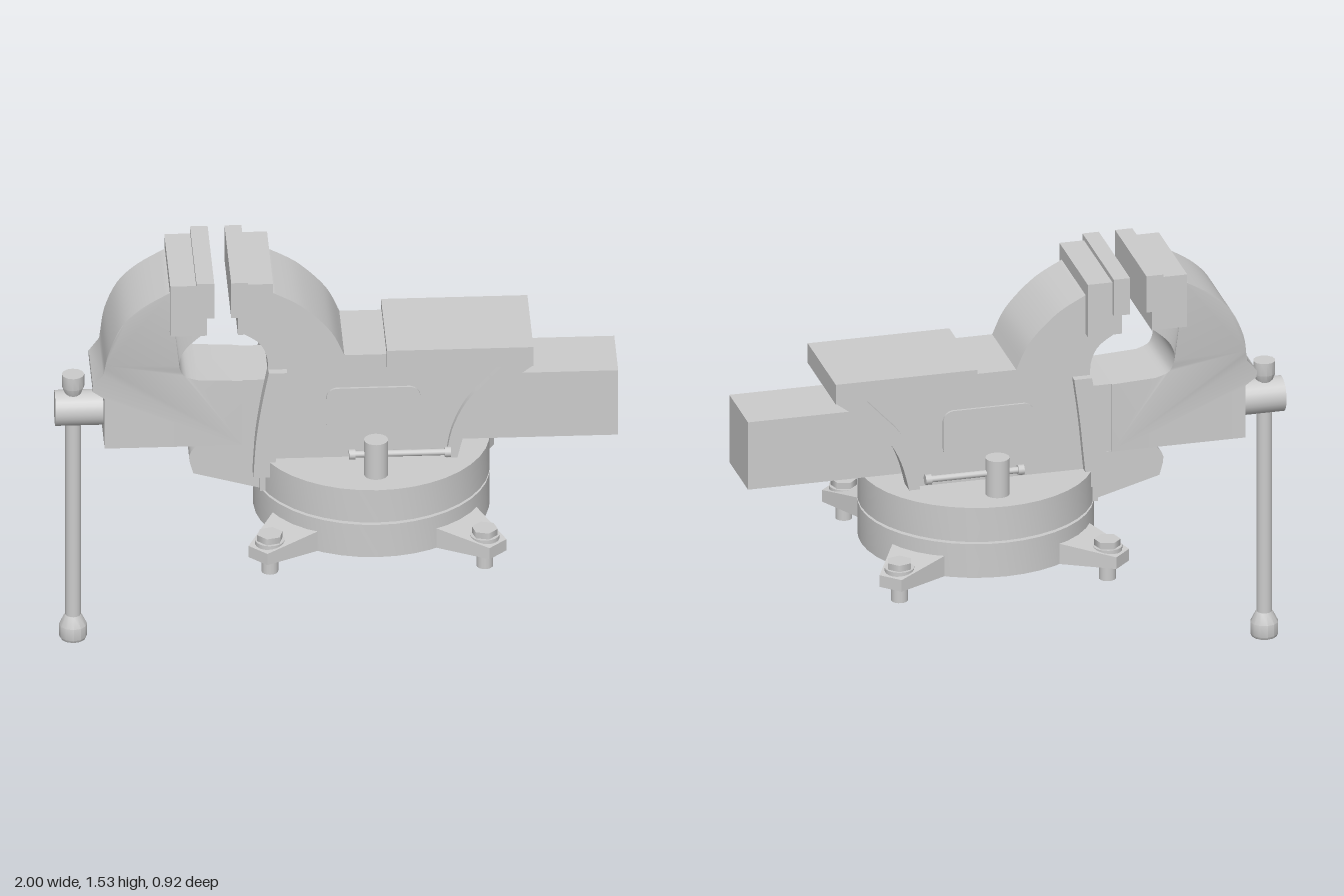
import * as THREE from 'three';
import { toCreasedNormals } from 'three/addons/utils/BufferGeometryUtils.js';

const CX = 0.125; // centre of the swivel base
const material = new THREE.MeshStandardMaterial({ color: 0xcccccc, side: THREE.DoubleSide });
const V = (x, y) => new THREE.Vector2(x, y);
const curve = (pts, n = 16) => new THREE.SplineCurve(pts.map(p => V(...p))).getPoints(n);
const poly = pts => new THREE.Shape(pts.map(p => (p.isVector2 ? p : V(...p))));

export function createModel() {
  const root = new THREE.Group();

  const add = (name, geo, x = 0, y = 0, z = 0, parent = root) => {
    const mesh = new THREE.Mesh(geo, material);
    mesh.name = name;
    mesh.position.set(x, y, z);
    parent.add(mesh);
    return mesh;
  };
  // box given by its limits, symmetric in z
  const box = (name, x0, x1, y0, y1, halfZ) =>
    add(name, new THREE.BoxGeometry(x1 - x0, y1 - y0, 2 * halfZ), (x0 + x1) / 2, (y0 + y1) / 2, 0);
  // side profile extruded from z0 to z1
  const slab = (shape, z0, z1) => {
    const g = new THREE.ExtrudeGeometry(shape, { depth: z1 - z0, bevelEnabled: false, curveSegments: 8 });
    return g.translate(0, 0, z0);
  };
  const addSlab = (name, shape, z0, z1) => add(name, toCreasedNormals(slab(shape, z0, z1), 0.6));
  const bothSides = (name, shape, z0, z1) => {
    addSlab(name + 'Left', shape, z0, z1);
    addSlab(name + 'Right', shape, -z1, -z0);
  };
  const lathe = (pts, n) =>
    toCreasedNormals(new THREE.LatheGeometry(pts.map(p => V(...p)), n), 0.6);

  // --- swivel base ---
  add('baseRing', lathe([[0.385, 0.52], [0.42, 0.52], [0.42, 0.65], [0.385, 0.65], [0.385, 0.52]], 40), CX);
  add('swivelDisc', lathe([[0, 0.72], [0.36, 0.72], [0.36, 0.66], [0.42, 0.66], [0.42, 0.79], [0, 0.79]], 40), CX);
  add('swivelCollar', lathe([[0.36, 0.64], [0.4, 0.64], [0.4, 0.67], [0.36, 0.67], [0.36, 0.64]], 40), CX);

  // --- four mounting lugs with bolts, hollow underneath ---
  const lugOutline = [[0.395, -0.11], [0.603, -0.045], [0.603, 0.045], [0.395, 0.11]];
  const rim = poly(lugOutline);
  rim.holes.push(new THREE.Path([V(0.41, -0.085), V(0.41, 0.085), V(0.585, 0.03), V(0.585, -0.03)]));
  const rimGeo = slab(rim, 0, 0.03).rotateX(-Math.PI / 2);
  const topGeo = slab(poly(lugOutline), 0.03, 0.045).rotateX(-Math.PI / 2);
  const p = topGeo.attributes.position;
  for (let i = 0; i < p.count; i++) {
    if (p.getY(i) > 0.04 && p.getX(i) < 0.5) p.setY(i, 0.08); // rises towards the ring
  }
  topGeo.computeVertexNormals();
  for (let i = 0; i < 4; i++) {
    const lug = new THREE.Group();
    lug.name = 'mountingLug' + (i + 1);
    lug.position.set(CX, 0.52, 0);
    lug.rotation.y = Math.PI / 4 + i * Math.PI / 2;
    add('lugRim', rimGeo, 0, 0, 0, lug);
    add('lugTop', topGeo, 0, 0, 0, lug);
    add('washer', new THREE.CylinderGeometry(0.053, 0.053, 0.016, 20), 0.54, 0.055, 0, lug);
    add('boltHead', new THREE.CylinderGeometry(0.047, 0.047, 0.028, 6), 0.54, 0.073, 0, lug);
    add('boltShank', new THREE.CylinderGeometry(0.03, 0.03, 0.125, 16), 0.54, -0.002, 0, lug);
    root.add(lug);
  }

  // --- swivel locks: post with a cross bar ---
  for (const s of [1, -1]) {
    const lock = new THREE.Group();
    lock.name = s > 0 ? 'swivelLockLeft' : 'swivelLockRight';
    lock.position.set(CX, 0, s * 0.3);
    add('lockPost', new THREE.CylinderGeometry(0.043, 0.043, 0.35, 20), 0, 0.755, 0, lock);
    add('lockBar', new THREE.CylinderGeometry(0.012, 0.012, 0.34, 12).rotateZ(Math.PI / 2), 0.085, 0.873, 0, lock);
    for (const x of [-0.085, 0.255]) {
      add('lockBarEnd', new THREE.CylinderGeometry(0.019, 0.019, 0.022, 12).rotateZ(Math.PI / 2), x, 0.873, 0, lock);
    }
    root.add(lock);
  }

  // --- fixed body: two cheeks around the slide channel ---
  const armBack = curve([[-0.235, 1.46], [-0.13, 1.4], [-0.03, 1.3], [0.02, 1.2]]);
  const armFront = curve([[-0.25, 1.12], [-0.255, 1.2], [-0.285, 1.26], [-0.36, 1.31]], 10);
  const webOuter = curve([[0.69, 1.155], [0.6, 1.085], [0.5, 0.99], [0.45, 0.9], [0.42, 0.79]]);
  const webInner = curve([[0.38, 0.79], [0.4, 0.9], [0.45, 1.01], [0.52, 1.09], [0.58, 1.155]]);
  const noseEdge = curve([[-0.5, 0.835], [-0.53, 0.79], [-0.515, 0.72]], 6);
  addSlab('fixedJawArm', poly([...armBack, [0.18, 1.2], [0.18, 1.12], ...armFront, [-0.3, 1.46]]), -0.165, 0.165);
  bothSides('cheek', poly([[-0.24, 1.14], [0.1, 1.19], [0.2, 1.16], ...webOuter, [-0.1, 0.79],
    [-0.2, 0.67], [-0.28, 0.66], [-0.28, 0.8]]), 0.13, 0.165);
  bothSides('rearRib', poly([...webOuter, ...webInner]), 0.13, 0.193);
  bothSides('frontFlange', poly([
    ...curve([[-0.185, 1.15], [-0.205, 1.0], [-0.22, 0.85], [-0.232, 0.73]]),
    ...curve([[-0.305, 0.73], [-0.295, 0.88], [-0.275, 1.02], [-0.25, 1.15]]),
  ]), 0.128, 0.195);
  addSlab('bodyNose', poly([...noseEdge, [-0.28, 0.655], [-0.12, 0.655], [-0.12, 0.828]]), -0.13, 0.13);
  box('anvil', 0.17, 0.69, 1.152, 1.228, 0.193);

  // raised rounded panel on each cheek
  const panel = new THREE.Shape();
  const [x0, x1, y0, y1, r] = [-0.045, 0.29, 0.89, 1.07, 0.04];
  panel.absarc(x1 - r, y1 - r, r, 0, Math.PI / 2);
  panel.absarc(x0 + r, y1 - r, r, Math.PI / 2, Math.PI);
  panel.absarc(x0 + r, y0 + r, r, Math.PI, Math.PI * 1.5);
  panel.absarc(x1 - r, y0 + r, r, Math.PI * 1.5, Math.PI * 2);
  bothSides('sidePanel', panel, 0.16, 0.174);

  // --- sliding jaw, widening towards the top ---
  const jawBack = curve([[-0.83, 1.16], [-0.815, 1.24], [-0.77, 1.34], [-0.7, 1.41], [-0.6, 1.47]]);
  const jawThroat = curve([[-0.47, 1.31], [-0.54, 1.245], [-0.566, 1.18], [-0.55, 1.12], [-0.5, 1.098]]);
  const jawGeo = slab(poly([[-0.83, 0.83], [-0.83, 1.03], [-0.872, 1.06], [-0.872, 1.085], [-0.835, 1.13],
    ...jawBack, [-0.5, 1.47], ...jawThroat, [-0.34, 1.09], [-0.34, 0.83]]), -1, 1);
  const jp = jawGeo.attributes.position;
  for (let i = 0; i < jp.count; i++) {
    jp.setZ(i, jp.getZ(i) * (0.132 + 0.033 * THREE.MathUtils.smoothstep(jp.getY(i), 1.06, 1.28)));
  }
  add('slidingJaw', toCreasedNormals(jawGeo, 0.6));
  box('slideBar', -0.8, 0.995, 0.83, 1.09, 0.128);

  // --- jaw heads and gripping plates ---
  box('slidingJawHead', -0.6, -0.47, 1.31, 1.512, 0.195);
  box('slidingJawPlate', -0.508, -0.445, 1.39, 1.53, 0.215);
  box('fixedJawHead', -0.36, -0.235, 1.31, 1.512, 0.195);
  box('fixedJawPlate', -0.385, -0.325, 1.39, 1.53, 0.215);

  // --- screw and handle ---
  add('screwHead', new THREE.CylinderGeometry(0.064, 0.064, 0.18, 24).rotateZ(Math.PI / 2), -0.91, 0.928, 0);
  add('handleBar', new THREE.CylinderGeometry(0.028, 0.028, 1.0, 16), -0.935, 0.54, 0);
  add('handleKnobBottom', lathe([[0, 0], [0.045, 0], [0.05, 0.01], [0.05, 0.055], [0.03, 0.095], [0, 0.095]], 12), -0.935);
  add('handleKnobTop', lathe([[0, 0.985], [0.028, 0.985], [0.04, 1.015], [0.04, 1.063], [0, 1.063]], 12), -0.935);

  return root;
}
